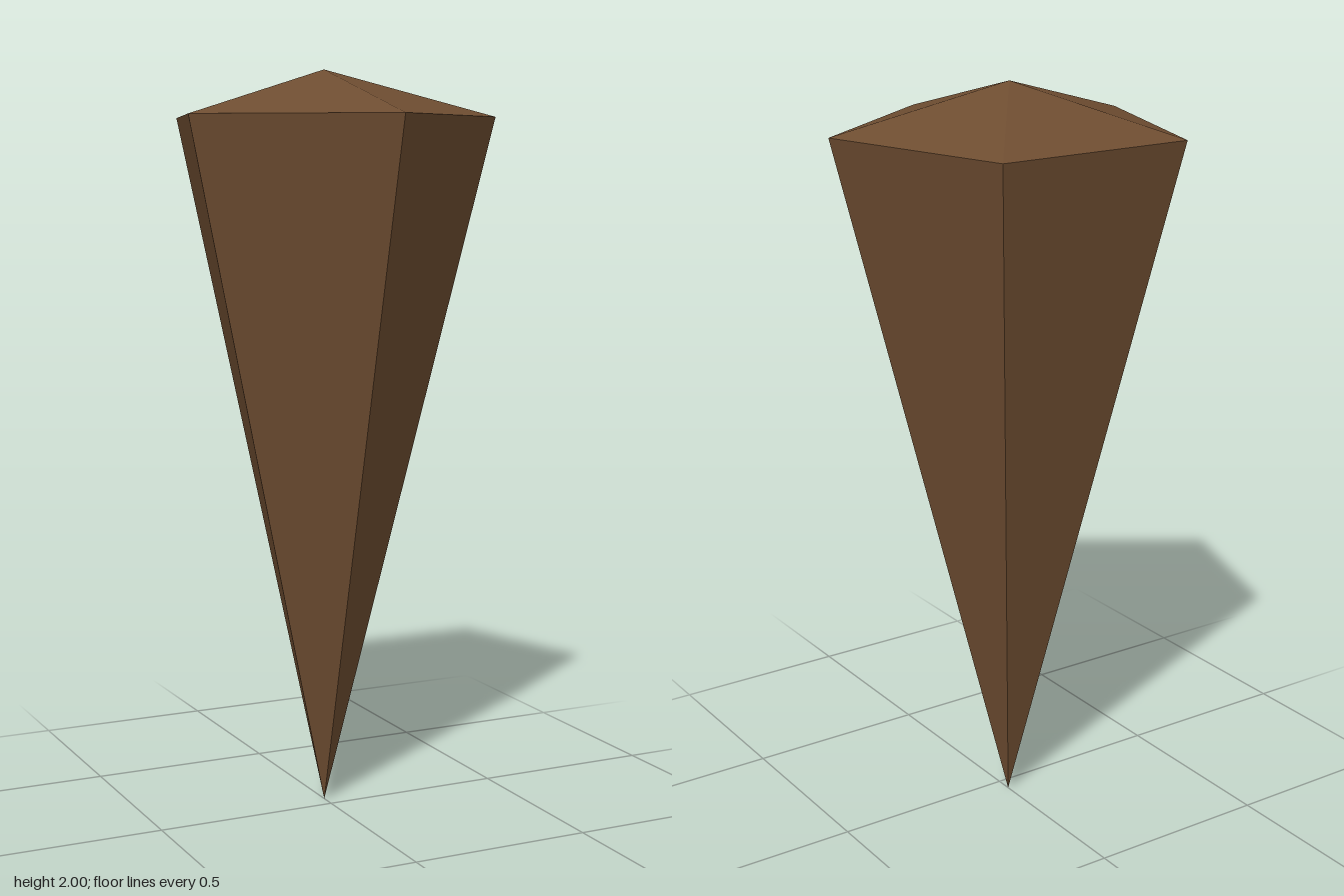
import * as THREE from 'three';

const SIDES = 5;
const RADIUS = 0.464;
const RIM_Y = 1.878; // height of the widest ring
const TOP_Y = 2;
const CENTRE_Z = -0.044; // a pentagon's centre is not the middle of its depth

export function createModel() {
  const group = new THREE.Group();
  group.name = 'spike';
  const brown = new THREE.MeshStandardMaterial({ color: 0x6e4d31 });
  brown.name = 'brown';

  // One open five-sided section between two heights, with flat faces
  const addSection = (name, topRadius, bottomRadius, bottomY, topY) => {
    const geometry = new THREE.CylinderGeometry(
      topRadius, bottomRadius, topY - bottomY, SIDES, 1, true
    ).toNonIndexed();
    geometry.computeVertexNormals();
    const mesh = new THREE.Mesh(geometry, brown);
    mesh.name = name;
    mesh.position.set(0, (bottomY + topY) / 2, CENTRE_Z);
    group.add(mesh);
  };

  // Long shaft tapering down to a point
  addSection('shaft', RADIUS, 0, 0, RIM_Y);
  // Shallow pyramid closing the top
  addSection('cap', 0, RADIUS, RIM_Y, TOP_Y);

  return group;
}
